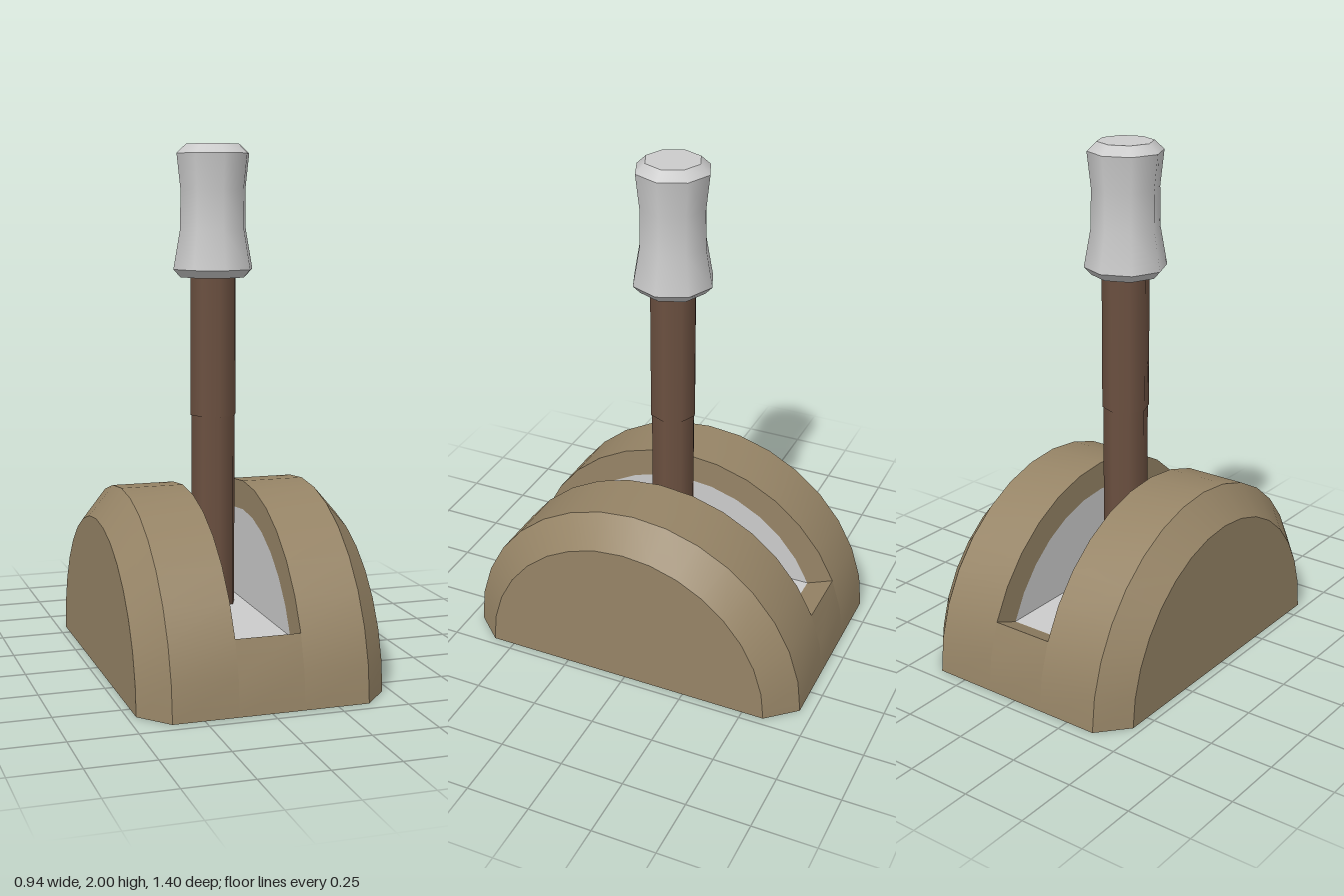
import * as THREE from 'three';
import { toCreasedNormals } from 'three/addons/utils/BufferGeometryUtils.js';

const R = 0.7, INNER = 0.587;            // outer radius, inset radius of chamfer and slot
const SLOT = 0.123, RIM = 0.368, END = 0.468; // half widths along x
const SEGMENTS = 16, STEP = Math.PI / SEGMENTS;

const brown = new THREE.MeshStandardMaterial({ color: 0x968466 });
const darkBrown = new THREE.MeshStandardMaterial({ color: 0x6b5040 });
const grey = new THREE.MeshStandardMaterial({ color: 0xcccccc });

const onArc = (r, i) => new THREE.Vector2(r * Math.cos(i * STEP), r * Math.sin(i * STEP));
const arc = (r, from, to) =>
  Array.from({ length: to - from + 1 }, (_, i) => onArc(r, from + i));

function add(parent, name, geometry, material) {
  const mesh = new THREE.Mesh(geometry, material);
  mesh.name = name;
  parent.add(mesh);
  return mesh;
}

// Half disc extruded along x, its outer end tapered into a chamfer
function cheekGeometry() {
  const g = new THREE.ExtrudeGeometry(new THREE.Shape(arc(R, 0, SEGMENTS)),
    { depth: 1, steps: 2, bevelEnabled: false });
  const p = g.attributes.position;
  const levels = [SLOT, RIM, END];
  for (let i = 0; i < p.count; i++) {
    const level = Math.round(p.getZ(i) * 2);
    const s = level === 2 ? INNER / R : 1;
    p.setXYZ(i, p.getX(i) * s, p.getY(i) * s, levels[level]);
  }
  g.rotateY(Math.PI / 2);
  return toCreasedNormals(g, 0.45);
}

// Low block under the slot, with sloping lips at both ends
function bridgeGeometry() {
  const shape = new THREE.Shape([
    ...arc(R, 0, 2), onArc(INNER, 2),
    onArc(INNER, SEGMENTS - 2), ...arc(R, SEGMENTS - 2, SEGMENTS),
  ]);
  const g = new THREE.ExtrudeGeometry(shape, { depth: SLOT * 2, bevelEnabled: false });
  g.translate(0, 0, -SLOT);
  g.rotateY(Math.PI / 2);
  return toCreasedNormals(g, 0.3);
}

// Surface of revolution with eight sides, one lathe per smooth band
function turned(parent, name, bands, material) {
  bands.forEach((band, i) => {
    const points = band.map(([r, y]) => new THREE.Vector2(r, y));
    add(parent, `${name}${i + 1}`, new THREE.LatheGeometry(points, 8), material);
  });
}

export function createModel() {
  const model = new THREE.Group();
  model.name = 'leverSwitch';

  // Base: two chamfered cheeks joined by the bridge
  const base = new THREE.Group();
  base.name = 'base';
  model.add(base);
  const cheek = cheekGeometry();
  add(base, 'leftCheek', cheek, brown);
  add(base, 'rightCheek', cheek, brown).rotation.y = Math.PI;
  add(base, 'bridge', bridgeGeometry(), brown);

  // Grey lining of the slot: floor and the walls inside the brown rim
  const lining = new THREE.Group();
  lining.name = 'slotLining';
  model.add(lining);
  const corner = onArc(INNER, 2);
  const floor = new THREE.PlaneGeometry(SLOT * 2, corner.x * 2);
  floor.rotateX(-Math.PI / 2).translate(0, corner.y + 0.001, 0);
  add(lining, 'slotFloor', floor, grey);
  const wall = new THREE.ShapeGeometry(new THREE.Shape(arc(INNER, 2, SEGMENTS - 2)));
  wall.rotateY(Math.PI / 2).translate(-SLOT + 0.001, 0, 0);
  add(lining, 'rightSlotWall', wall, grey);
  add(lining, 'leftSlotWall', wall, grey).rotation.y = Math.PI;

  // Lever shaft, slightly thicker above the middle
  const shaft = new THREE.Group();
  shaft.name = 'shaft';
  model.add(shaft);
  turned(shaft, 'shaftSection', [
    [[0.087, corner.y], [0.087, 0.97]],
    [[0.087, 0.97], [0.091, 0.97]],
    [[0.091, 0.97], [0.091, 1.51]],
  ], darkBrown);

  // Waisted grip with bevelled ends
  const grip = new THREE.Group();
  grip.name = 'grip';
  model.add(grip);
  turned(grip, 'gripSection', [
    [[0, 1.5], [0.13, 1.5]],
    [[0.13, 1.5], [0.158, 1.53]],
    [[0.158, 1.53], [0.131, 1.68], [0.129, 1.83], [0.144, 1.965]],
    [[0.144, 1.965], [0.107, 2]],
    [[0.107, 2], [0, 2]],
  ], grey);

  return model;
}
